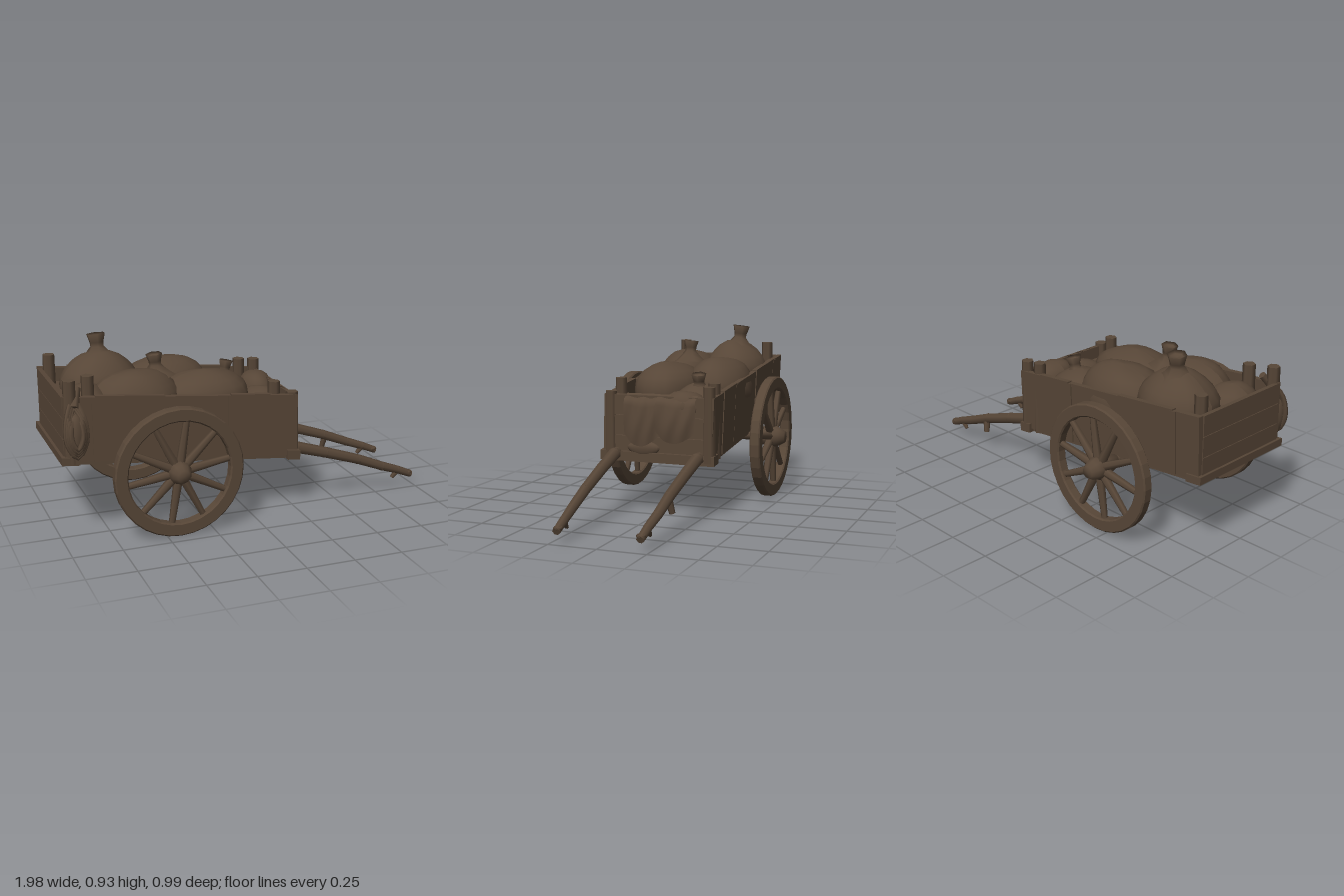
import * as THREE from 'three';

const wood = new THREE.MeshStandardMaterial({ color: 0x574637 });
wood.name = 'weatheredBrown';
const cloth = wood.clone();
cloth.name = 'weatheredBrownCloth';
cloth.side = THREE.DoubleSide;

function add(parent, name, geo, x = 0, y = 0, z = 0, mat = wood) {
  const m = new THREE.Mesh(geo, mat);
  m.name = name;
  m.position.set(x, y, z);
  parent.add(m);
  return m;
}
const V = (x, y, z) => new THREE.Vector3(x, y, z);

// Floor height of the cart bed, which slopes down towards the shafts
const floorY = x => 0.324 - 0.096 * x;

// Board from x0 to x1 with upright ends, following the slope; y0 and y1 are above the floor line
function board(parent, name, x0, x1, y0, y1, z, depth, lean = 0) {
  const geo = new THREE.BoxGeometry(x1 - x0, y1 - y0, depth);
  const p = geo.attributes.position;
  for (let i = 0; i < p.count; i++) {
    const x = p.getX(i) + (x0 + x1) / 2, h = p.getY(i) + (y0 + y1) / 2;
    p.setXYZ(i, x, floorY(x) + h, p.getZ(i) + z + lean * h);
  }
  geo.computeVertexNormals();
  add(parent, name, geo);
}

// Round bar between two points
function bar(parent, name, a, b, r0, r1, sides = 6) {
  const dir = b.clone().sub(a);
  const m = add(parent, name, new THREE.CylinderGeometry(r1, r0, dir.length(), sides));
  m.position.copy(a).add(b).multiplyScalar(0.5);
  m.quaternion.setFromUnitVectors(V(0, 1, 0), dir.normalize());
  return m;
}

// Rim, ten spokes and a bulging hub; local z points outward
function makeWheel(side) {
  const g = new THREE.Group();
  g.name = side > 0 ? 'rightSideWheel' : 'leftSideWheel';
  g.position.set(-0.432, 0.338, side * 0.415);
  if (side < 0) g.rotation.y = Math.PI;
  const ring = new THREE.Shape().absarc(0, 0, 0.326, 0, Math.PI * 2);
  ring.holes.push(new THREE.Path().absarc(0, 0, 0.272, 0, Math.PI * 2, true));
  const rim = new THREE.ExtrudeGeometry(ring, { depth: 0.041, bevelSize: 0.007, bevelThickness: 0.007, bevelSegments: 1, curveSegments: 16 });
  add(g, 'rim', rim, 0, 0, -0.0205);
  for (let i = 0; i < 10; i++) {
    const a = (i + 0.25) * Math.PI / 5, c = Math.cos(a) * side, s = Math.sin(a);
    bar(g, 'spoke', V(c * 0.03, s * 0.03, 0), V(c * 0.28, s * 0.28, 0), 0.024, 0.016);
  }
  const hub = [[0, -0.11], [0.036, -0.11], [0.056, -0.03], [0.06, 0.02], [0.05, 0.045], [0.032, 0.078], [0, 0.078]];
  const h = add(g, 'hub', new THREE.LatheGeometry(hub.map(p => new THREE.Vector2(...p)), 10));
  h.rotation.x = Math.PI / 2;
  return g;
}

// Lumpy sack, with an optional tied and flared neck
function makeSack(parent, [x, y, z], [rx, ry, rz], seed, neck) {
  const g = new THREE.Group();
  g.name = 'sack';
  const geo = new THREE.SphereGeometry(1, 18, 12);
  const p = geo.attributes.position;
  for (let i = 0; i < p.count; i++) {
    const v = V(p.getX(i), p.getY(i), p.getZ(i));
    v.multiplyScalar(1 + 0.035 * Math.sin(v.x * 4 + seed) * Math.cos(v.z * 5 - seed) + 0.02 * Math.sin(v.y * 6 + seed));
    p.setXYZ(i, v.x * rx, v.y * ry, v.z * rz);
  }
  geo.computeVertexNormals();
  add(g, 'sackBody', geo, x, y, z);
  if (neck) {
    const [nx, ny, nz, tiltX, tiltZ, s] = neck;
    const prof = [[0.11, -0.07], [0.06, -0.03], [0.034, 0], [0.036, 0.02], [0.048, 0.062], [0.03, 0.05], [0, 0.045]];
    const n = add(g, 'sackNeck', new THREE.LatheGeometry(prof.map(q => new THREE.Vector2(q[0] * s, q[1] * s)), 6), nx, ny, nz, cloth);
    n.rotation.set(tiltX, seed, tiltZ);
  }
  parent.add(g);
}

// Sagging cloth hung over the front board
function makeDrape(parent, z0, z1, top, drop, bulge) {
  const geo = new THREE.PlaneGeometry(1, 1, 12, 8);
  const p = geo.attributes.position;
  for (let i = 0; i < p.count; i++) {
    const u = p.getX(i) + 0.5, v = 0.5 - p.getY(i);
    const sag = Math.sin(u * Math.PI);
    p.setXYZ(i,
      0.265 + bulge * Math.sin(v * Math.PI * 0.75) * (0.5 + 0.5 * sag) + 0.006 * Math.sin(u * 15 + v * 4) - (v < 0.01 ? 0.04 : 0),
      top - v * drop * (0.78 + 0.22 * sag),
      z0 + (z1 - z0) * (u + 0.04 * Math.sin(v * 5) * sag));
  }
  geo.computeVertexNormals();
  add(parent, 'drapedCloth', geo, 0, 0, 0, cloth);
}

export function createModel() {
  const cart = new THREE.Group();
  cart.name = 'handCart';
  const body = new THREE.Group();
  body.name = 'cartBox';
  cart.add(body);

  // Floor planks and end beams
  for (let i = 0; i < 7; i++) {
    const x = -0.965 + i * 0.174, y = (i % 2) * 0.004;
    board(body, 'floorPlank', x, x + 0.17, y - 0.008, y + 0.016, 0, 0.57);
  }
  board(body, 'endBeam', -0.99, -0.9, -0.015, 0.025, 0, 0.62);
  board(body, 'endBeam', 0.195, 0.265, -0.02, 0.03, 0, 0.63);

  // Side walls of butted panels, with sills and battens
  const cuts = [-0.97, -0.81, -0.46, -0.11, 0.1, 0.255];
  for (const s of [-1, 1]) {
    const lean = s < 0 ? -0.04 : -0.02;
    for (let i = 0; i < 5; i++) {
      board(body, 'sidePanel', cuts[i], cuts[i + 1], 0, 0.326 + (i % 2) * 0.007, s * (0.285 + (i % 2) * 0.005), 0.028, lean);
    }
    board(body, 'sill', -0.97, 0.25, -0.018, 0.02, s * 0.27, 0.035);
    for (const x of [-0.83, -0.13]) board(body, 'sideBatten', x, x + 0.045, 0, 0.325, s * 0.299, 0.012, lean);
  }

  // Corner posts: x, top, z
  const posts = [
    [-0.935, 0.82, 0.28], [-0.83, 0.82, 0.222], [-0.92, 0.82, -0.24],
    [0.145, 0.69, -0.275], [0.14, 0.7, 0.245], [0.235, 0.64, 0.262], [0.235, 0.68, -0.28],
  ];
  for (const [x, top, z] of posts) bar(body, 'post', V(x, floorY(x) - 0.01, z), V(x, top, z), 0.036, 0.032);

  // End boards and packed cargo under the sacks
  for (let i = 0; i < 3; i++) {
    board(body, 'backBoard', -0.975, -0.95, 0.006 + i * 0.107, 0.11 + i * 0.107, 0, 0.56);
    board(body, 'frontBoard', 0.225, 0.25, 0.006 + i * 0.107, 0.11 + i * 0.107, 0, 0.56);
  }
  board(body, 'cargoFill', -0.95, 0.225, 0.01, 0.255, 0, 0.55);

  // Wheels and axle
  cart.add(makeWheel(1), makeWheel(-1));
  bar(cart, 'axle', V(-0.432, 0.338, -0.4), V(-0.432, 0.338, 0.4), 0.028, 0.028, 8);

  // Curved, tapering pull shafts with gnarled, hooked tips
  for (const s of [-1, 1]) {
    const path = [[0.16, 0.318, 0.232], [0.28, 0.315, 0.228], [0.45, 0.264, 0.226], [0.65, 0.198, 0.222], [0.8, 0.138, 0.22], [0.9, 0.102, 0.214], [0.985, 0.066, 0.212]]
      .map(([x, y, z]) => V(x, y, z * s));
    for (let i = 0; i < path.length - 1; i++) {
      bar(cart, 'pullShaft', path[i], path[i + 1], 0.035 - i * 0.0025, 0.0325 - i * 0.0025, 7);
      if (i) add(cart, 'shaftKnuckle', new THREE.SphereGeometry(0.035 - i * 0.0024, 7, 5), ...path[i].toArray());
    }
    bar(cart, 'tipHook', V(0.9, 0.1, s * 0.214), V(0.868, 0.06, s * 0.214), 0.018, 0.01);
    const tip = add(cart, 'shaftTip', new THREE.TorusGeometry(0.016, 0.009, 5, 8), 0.968, 0.08, s * 0.21);
    tip.rotation.x = Math.PI / 2;
  }
  bar(cart, 'shaftPeg', V(0.665, 0.19, -0.225), V(0.652, 0.118, -0.24), 0.02, 0.015);

  // Load of sacks pressed against the walls
  makeSack(cart, [-0.68, 0.67, -0.12], [0.21, 0.175, 0.18], 1, [-0.685, 0.866, -0.145, -0.2, 0.1, 1.05]);
  makeSack(cart, [-0.56, 0.655, 0.12], [0.23, 0.14, 0.17], 2.2, [-0.44, 0.8, 0.07, 0.15, -0.2, 0.9]);
  makeSack(cart, [-0.82, 0.63, 0.11], [0.13, 0.12, 0.15], 5);
  makeSack(cart, [-0.33, 0.62, -0.14], [0.25, 0.16, 0.18], 3.1);
  makeSack(cart, [-0.19, 0.61, 0.1], [0.25, 0.15, 0.185], 4.4);
  makeSack(cart, [-0.04, 0.57, -0.14], [0.17, 0.1, 0.15], 0.6, [0.015, 0.67, -0.145, 0.1, -0.25, 0.85]);
  makeSack(cart, [0.19, 0.57, -0.13], [0.09, 0.08, 0.12], 2.7);
  makeSack(cart, [0.15, 0.54, 0.04], [0.1, 0.075, 0.12], 3.7);
  makeSack(cart, [0.1, 0.53, 0.17], [0.12, 0.075, 0.11], 1.7);

  // Cloths over the front board, with a bag end showing below
  makeDrape(cart, 0.175, -0.02, 0.632, 0.27, 0.022);
  makeDrape(cart, 0.0, -0.215, 0.632, 0.245, 0.03);
  makeSack(cart, [0.25, 0.35, 0.075], [0.022, 0.04, 0.09], 0.4);

  // Coiled bundle hung on the rear corner
  const bundle = new THREE.Group();
  bundle.name = 'hangingBundle';
  bundle.position.set(-0.92, 0.57, 0.32);
  cart.add(bundle);
  for (let i = 0; i < 4; i++) {
    const pts = [[0, 0.15, -0.03], [0.042, 0.08, 0.012], [0.048, -0.04, 0.03], [0, -0.12, 0.03], [-0.05, -0.04, 0.028], [-0.042, 0.08, 0.012]]
      .map(([x, y, z]) => V(x * (1 - i * 0.15), y * (1 - i * 0.13), z + i * 0.006));
    add(bundle, 'ropeCoil', new THREE.TubeGeometry(new THREE.CatmullRomCurve3(pts, true), 20, 0.013, 5, true));
  }
  const lump = add(bundle, 'bundleCore', new THREE.SphereGeometry(1, 9, 7), 0, -0.02, 0.012);
  lump.scale.set(0.048, 0.115, 0.038);
  bar(bundle, 'bundleStrap', V(0, 0.12, -0.01), V(0.03, 0.2, -0.07), 0.024, 0.02);

  return cart;
}
